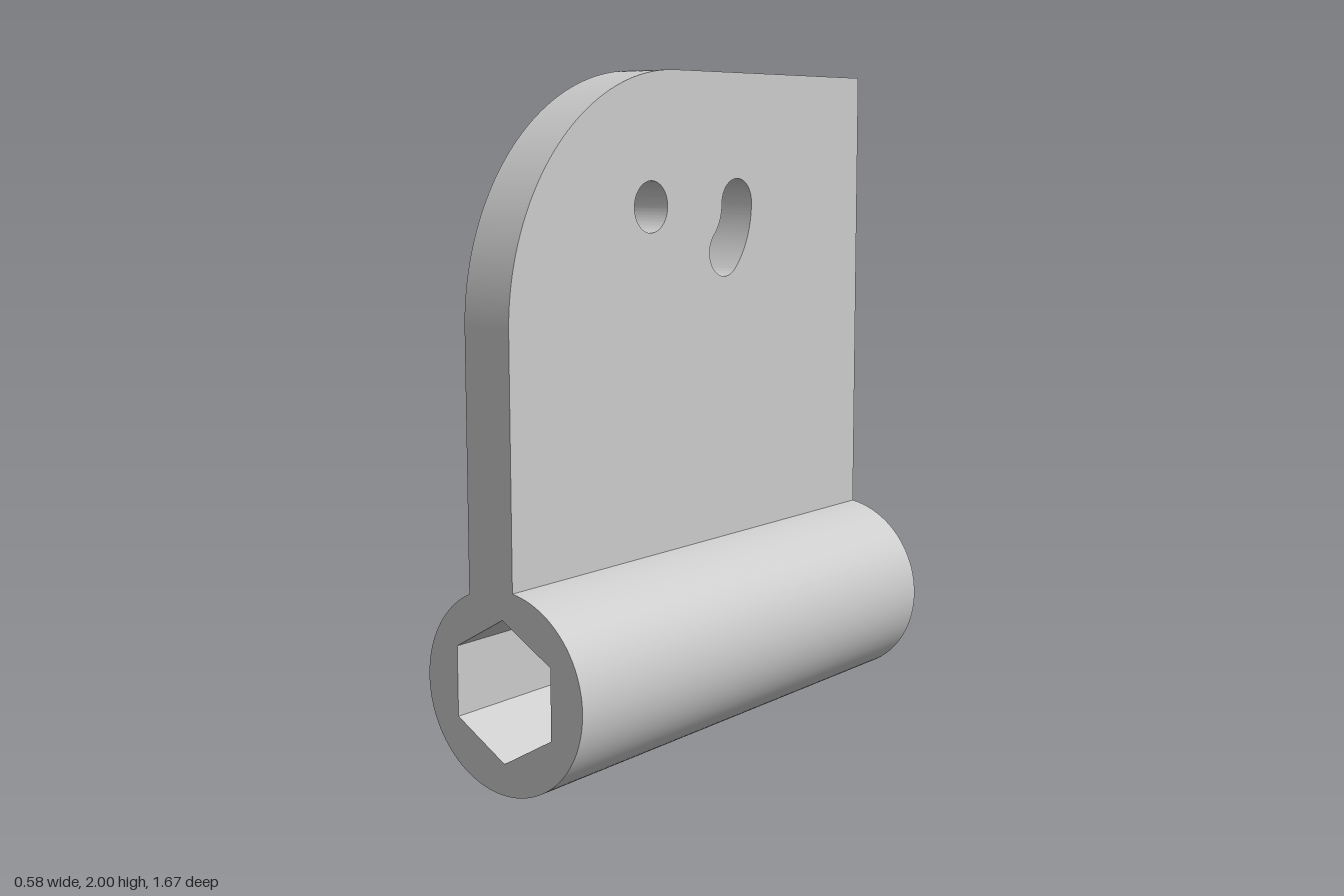
import * as THREE from 'three';
import { toCreasedNormals } from 'three/addons/utils/BufferGeometryUtils.js';

const HALF = 0.835;              // half length along z
const LEFT = -0.125, RIGHT = 0.04; // plate faces in x
const NECK = 0.62;               // height where the plate takes over from the neck
const R = 0.291, CY = 0.292;     // barrel radius and axis height

function extrude(shape, depth) {
  const geo = new THREE.ExtrudeGeometry(shape, { depth, bevelEnabled: false, curveSegments: 48 });
  return toCreasedNormals(geo, 0.5);
}

// Round barrel with a short neck on top and a hexagonal bore
function barrelGeometry() {
  const shape = new THREE.Shape();
  const a1 = Math.acos(RIGHT / R), a2 = Math.acos(LEFT / R);
  shape.absarc(0, CY, R, a2, a1 + Math.PI * 2, false);
  shape.lineTo(RIGHT, NECK);
  shape.lineTo(LEFT, NECK);
  shape.closePath();

  const hex = [];
  for (let i = 0; i < 6; i++) {
    const a = Math.PI / 2 - i * Math.PI / 3;
    hex.push(new THREE.Vector2(0.204 * Math.cos(a), CY + 0.004 + 0.204 * Math.sin(a)));
  }
  shape.holes.push(new THREE.Path(hex));
  return extrude(shape, HALF * 2).translate(0, 0, -HALF);
}

// Upright plate drawn side-on (u = -z), with one rounded corner, a hole and a curved slot
function plateGeometry() {
  const corner = 0.71;
  const shape = new THREE.Shape();
  shape.moveTo(-HALF, NECK);
  shape.lineTo(HALF, NECK);
  shape.lineTo(HALF, 2);
  shape.lineTo(-HALF + corner, 2);
  shape.absarc(-HALF + corner, 2 - corner, corner, Math.PI / 2, Math.PI, false);
  shape.closePath();

  const y = 1.607, r = 0.075;
  shape.holes.push(new THREE.Path().absarc(-0.24, y, r, 0, Math.PI * 2, true));

  // Slot swept 45 degrees around a centre
  const u = -0.035, sweep = 0.205, q = Math.PI / 4;
  const slot = new THREE.Path();
  slot.absarc(u, y, sweep + r, 0, -q, true);
  slot.absarc(u + sweep * Math.cos(q), y - sweep * Math.sin(q), r, -q, -q - Math.PI, true);
  slot.absarc(u, y, sweep - r, -q, 0, false);
  slot.absarc(u + sweep, y, r, Math.PI, 0, true);
  shape.holes.push(slot);

  return extrude(shape, RIGHT - LEFT).rotateY(Math.PI / 2).translate(LEFT, 0, 0);
}

export function createModel() {
  const group = new THREE.Group();
  group.name = 'hingeLeaf';
  const material = new THREE.MeshStandardMaterial({ color: 0xcccccc });
  const parts = { hexBoreBarrel: barrelGeometry(), slottedPlate: plateGeometry() };
  for (const [name, geometry] of Object.entries(parts)) {
    const mesh = new THREE.Mesh(geometry, material);
    mesh.name = name;
    group.add(mesh);
  }
  return group;
}
